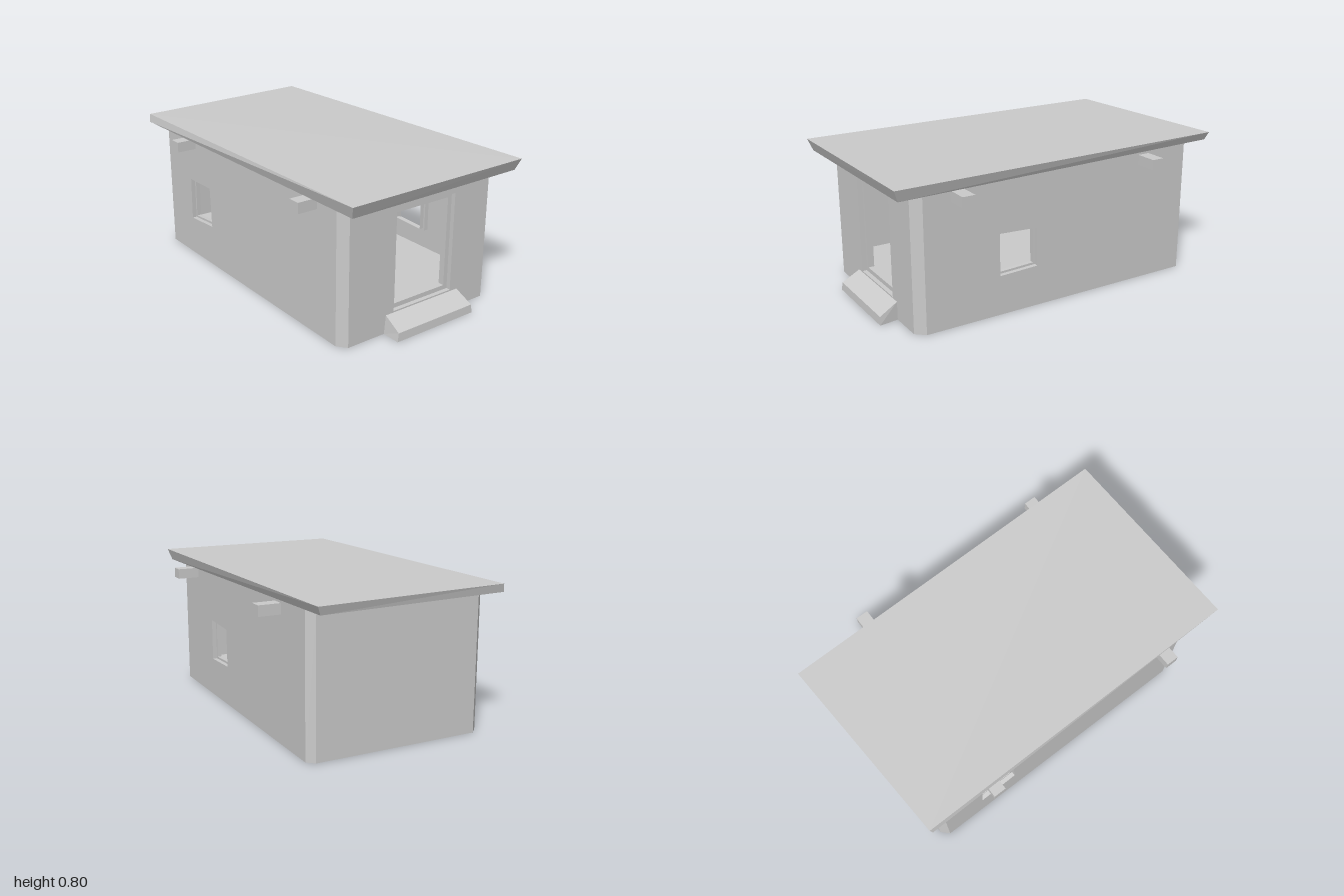
import * as THREE from 'three';

const material = new THREE.MeshStandardMaterial({ color: 0xcccccc, flatShading: true, side: THREE.DoubleSide });

function mesh(geometry, name) {
  const m = new THREE.Mesh(geometry, material);
  m.name = name;
  return m;
}

// Box with its eight corners moved; corners go left-back, right-back, right-front, left-front
function skewedBox(bottom, top, openBottom = false) {
  const geometry = new THREE.BoxGeometry(1, 1, 1);
  const p = geometry.attributes.position;
  for (let i = 0; i < p.count; i++) {
    const right = p.getX(i) > 0, front = p.getZ(i) > 0;
    const corner = front ? (right ? 2 : 3) : (right ? 1 : 0);
    p.setXYZ(i, ...(p.getY(i) > 0 ? top : bottom)[corner]);
  }
  if (openBottom) {
    const index = Array.from(geometry.index.array);
    index.splice(18, 6);
    geometry.setIndex(index);
  }
  geometry.computeVertexNormals();
  return geometry;
}

// Move the corners of a quad towards its middle
function inset(quad, t) {
  const cx = quad.reduce((s, q) => s + q[0], 0) / 4;
  const cy = quad.reduce((s, q) => s + q[1], 0) / 4;
  return quad.map(([x, y]) => [x - t * Math.sign(x - cx), y - t * Math.sign(y - cy)]);
}

// Stepped reveal: recess, frame face, inner jamb
function reveal(quad, t, recess, depth) {
  const inner = inset(quad, t);
  const loops = [[quad, 0], [quad, -recess], [inner, -recess], [inner, -depth]];
  const positions = [];
  for (let i = 0; i < 3; i++) {
    for (let j = 0; j < 4; j++) {
      const k = (j + 1) % 4;
      const at = (l, c) => [...loops[l][0][c], loops[l][1]];
      const a = at(i, j), b = at(i, k), c = at(i + 1, k), d = at(i + 1, j);
      positions.push(...a, ...b, ...c, ...a, ...c, ...d);
    }
  }
  const geometry = new THREE.BufferGeometry();
  geometry.setAttribute('position', new THREE.Float32BufferAttribute(positions, 3));
  geometry.computeVertexNormals();
  return geometry;
}

// Upright wall from plan point a to b, with an optional opening
function wall(a, b, height, name, opening) {
  const group = new THREE.Group();
  group.name = name;
  const dx = b[0] - a[0], dz = b[1] - a[1];
  const length = Math.hypot(dx, dz);
  const vectors = (pts) => pts.map(([x, y]) => new THREE.Vector2(x, y));
  const shape = new THREE.Shape(vectors([[0, 0], [length, 0], [length, height], [0, height]]));
  if (opening) {
    shape.holes.push(new THREE.Path(vectors(opening.quad)));
    group.add(mesh(reveal(opening.quad, opening.rim, opening.recess, opening.depth), opening.name));
  }
  group.add(mesh(new THREE.ShapeGeometry(shape), name + 'Panel'));
  group.position.set(a[0], 0, a[1]);
  group.rotation.y = Math.atan2(-dz, dx);
  return group;
}

export function createModel() {
  const model = new THREE.Group();
  model.name = 'hut';

  // Footprint with cut corners, as x and z
  const plan = [
    [-0.825, 0.51], [0.82, 0.51], [0.87, 0.47], [0.87, -0.455],
    [0.82, -0.5], [-0.83, -0.5], [-0.865, -0.46], [-0.865, 0.47],
  ];
  const names = ['frontWall', 'frontRightCorner', 'doorWall', 'backRightCorner',
    'backWall', 'backLeftCorner', 'endWall', 'frontLeftCorner'];

  // Openings by wall, measured along the wall and upward
  const openings = {
    frontWall: {
      name: 'frontWindowFrame', rim: 0.012, recess: 0.025, depth: 0.05,
      quad: [[0.245, 0.225], [0.475, 0.242], [0.465, 0.475], [0.25, 0.472]],
    },
    doorWall: {
      name: 'doorFrame', rim: 0.025, recess: 0.025, depth: 0.06,
      quad: [[0.29, 0.11], [0.685, 0.11], [0.685, 0.657], [0.29, 0.657]],
    },
    backWall: {
      name: 'backWindowFrame', rim: 0.012, recess: 0.025, depth: 0.05,
      quad: [[0.43, 0.22], [0.66, 0.228], [0.655, 0.445], [0.43, 0.455]],
    },
  };
  plan.forEach((p, i) => {
    model.add(wall(p, plan[(i + 1) % plan.length], 0.757, names[i], openings[names[i]]));
  });

  // Raised floor
  const floorShape = new THREE.Shape(plan.map(([x, z]) => new THREE.Vector2(x, -z)));
  const floor = mesh(new THREE.ShapeGeometry(floorShape), 'floor');
  floor.rotation.x = -Math.PI / 2;
  floor.position.y = 0.1;
  model.add(floor);

  // Uneven roof slab with edges leaning inward
  model.add(mesh(skewedBox(
    [[-0.985, 0.755, -0.5], [0.965, 0.74, -0.54], [0.975, 0.735, 0.54], [-0.925, 0.755, 0.58]],
    [[-1, 0.8, -0.52], [0.99, 0.803, -0.56], [1, 0.8, 0.56], [-0.935, 0.8, 0.572]],
  ), 'roof'));

  // Roof beams sticking out front and back
  for (const x of [-0.535, 0.635]) {
    const beam = mesh(new THREE.BoxGeometry(0.07, 0.057, 1.245), 'beam');
    beam.position.set(x, 0.707, 0);
    model.add(beam);
  }

  // Sloping door step
  model.add(mesh(skewedBox(
    [[0.87, 0, -0.265], [0.975, 0, -0.28], [0.975, 0, 0.24], [0.87, 0, 0.24]],
    [[0.87, 0.102, -0.265], [0.972, 0.046, -0.275], [0.972, 0.046, 0.232], [0.87, 0.102, 0.23]],
    true,
  ), 'doorStep'));

  return model;
}
